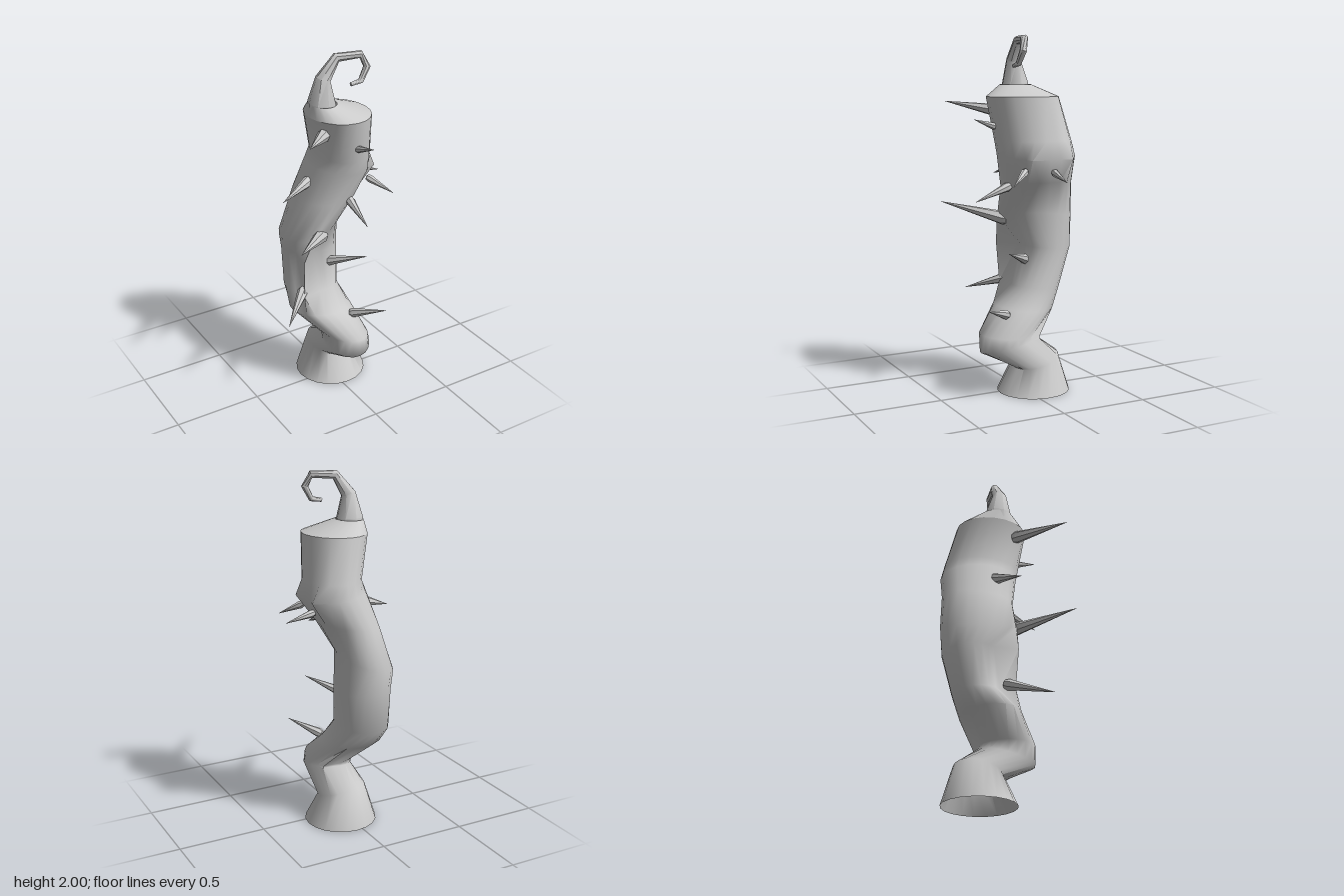
import * as THREE from 'three';
import { toCreasedNormals } from 'three/addons/utils/BufferGeometryUtils.js';

const material = new THREE.MeshStandardMaterial({ color: 0xcccccc, side: THREE.DoubleSide });
const V = (x, y, z) => new THREE.Vector3(x, y, z);

// Skin a list of rings (ordered bottom to top, each a loop of Vector3)
function loft(name, rings, crease, capEnd = false) {
  const n = rings[0].length, pos = [], idx = [];
  for (const ring of rings) for (const p of ring) pos.push(p.x, p.y, p.z);
  for (let r = 0; r < rings.length - 1; r++) {
    for (let i = 0; i < n; i++) {
      const a = r * n + i, b = r * n + (i + 1) % n;
      idx.push(a, a + n, b, b, a + n, b + n);
    }
  }
  if (capEnd) {
    const o = (rings.length - 1) * n;
    for (let i = 1; i < n - 1; i++) idx.push(o, o + i + 1, o + i);
  }
  const g = new THREE.BufferGeometry();
  g.setAttribute('position', new THREE.Float32BufferAttribute(pos, 3));
  g.setIndex(idx);
  const mesh = new THREE.Mesh(toCreasedNormals(g, crease), material);
  mesh.name = name;
  return mesh;
}

// Tilted oval ring from its extents. Skew slides its front sideways and its
// back the other way; each ridge [x, z] pulls the nearest point out to a fold
function oval([y, xL, xR, zB, zF, tiltZ = 0, tiltX = 0, skew = 0, ...ridges], n = 20) {
  const rx = Math.sqrt(((xR - xL) / 2) ** 2 - skew ** 2);
  const ring = Array.from({ length: n }, (_, i) => {
    const a = i / n * Math.PI * 2, c = Math.cos(a), s = Math.sin(a);
    return V((xL + xR) / 2 + rx * c + skew * s,
      y + tiltZ * s + tiltX * c,
      (zB + zF) / 2 + (zF - zB) / 2 * s);
  });
  for (const [x, z] of ridges) {
    const gap = p => Math.hypot(p.x - x, p.z - z);
    const near = ring.reduce((best, p) => gap(p) < gap(best) ? p : best);
    near.x = x;
    near.z = z;
  }
  return ring;
}

// Rings set square to a path of [x, y, z, radius]
function pathRings(path, n) {
  const pts = path.map(p => V(p[0], p[1], p[2]));
  let side = V(1, 0, 0);
  return path.map((p, i) => {
    const t = pts[Math.min(i + 1, pts.length - 1)].clone().sub(pts[Math.max(i - 1, 0)]).normalize();
    side = side.clone().addScaledVector(t, -side.dot(t)).normalize();
    const other = side.clone().cross(t);
    return Array.from({ length: n }, (_, k) => {
      const a = k / n * Math.PI * 2;
      return pts[i].clone().addScaledVector(side, Math.cos(a) * p[3]).addScaledVector(other, Math.sin(a) * p[3]);
    });
  });
}

// Cone from base to tip, with a rounded root
function thorn(base, tip, radius) {
  const from = V(...base), dir = V(...tip).sub(from), len = dir.length();
  const profile = [[0.001, -radius * 0.6], [radius * 0.75, -radius * 0.4], [radius, 0.01], [0.001, len]]
    .map(p => new THREE.Vector2(...p));
  const g = toCreasedNormals(new THREE.LatheGeometry(profile, 7), 0.6);
  const mesh = new THREE.Mesh(g, material);
  mesh.position.copy(from);
  mesh.quaternion.setFromUnitVectors(V(0, 1, 0), dir.normalize());
  mesh.name = 'thorn';
  return mesh;
}

export function createModel() {
  const model = new THREE.Group();
  model.name = 'thornyStalk';

  // Crooked trunk, open at the foot: y, xL, xR, zBack, zFront, tiltZ, tiltX, skew, ridges
  const top = [1.67, -0.138, 0.213, -0.195, 0.22];
  const trunk = [
    [0, -0.17, 0.24, -0.265, 0.15],
    [0.185, -0.10, 0.17, -0.20, 0.07, -0.035, -0.02],
    [0.285, -0.09, 0.17, -0.06, 0.27, -0.035, 0.01, 0, [0.14, -0.045]],
    [0.345, -0.10, 0.16, -0.06, 0.27, 0.01, -0.01, 0, [0.135, -0.045]],
    [0.48, -0.23, 0.13, -0.20, 0.13, 0.01, -0.01],
    [0.585, -0.205, 0.08, -0.27, 0.03, 0.015, 0, 0.025, [-0.195, 0.045]],
    [0.82, -0.21, 0.12, -0.31, -0.02, 0.01, 0, 0, [-0.205, 0.06]],
    [0.97, -0.245, 0.09, -0.33, 0.09, 0.02, 0.05, -0.025],
    [1.18, -0.16, 0.18, -0.295, 0.12, 0, 0.02],
    [1.35, -0.10, 0.25, -0.27, 0.165, 0, -0.02, -0.02, [0.268, -0.18], [0.25, 0.06]],
    [1.43, -0.08, 0.235, -0.25, 0.185, 0, 0, -0.015],
    top,
  ];
  model.add(loft('trunk', trunk.map(r => oval(r)), 1.3));

  // Sloping shoulder between the trunk rim and the stem
  model.add(loft('shoulder', [oval(top), oval([1.735, -0.13, 0.02, -0.08, 0.1])], 0.5));

  // Tapering stem that curls over into a hook
  const stem = [
    [-0.058, 1.69, 0.01, 0.078], [-0.058, 1.74, 0.01, 0.077], [-0.055, 1.87, 0.02, 0.042],
    [0.02, 1.975, 0.03, 0.026], [0.15, 1.98, 0.06, 0.021], [0.178, 1.915, 0.08, 0.02],
    [0.135, 1.845, 0.088, 0.016], [0.075, 1.835, 0.085, 0.011],
  ];
  model.add(loft('curledStem', pathRings(stem, 8), 0.8, true));

  // Thorns: base, tip, radius
  const thorns = [
    [[-0.10, 1.59, 0.10], [-0.315, 1.64, 0.325], 0.036],
    [[0.055, 1.51, 0.19], [0.07, 1.55, 0.32], 0.02],
    [[-0.11, 1.28, -0.04], [-0.31, 1.22, 0.025], 0.032],
    [[0.22, 1.26, -0.09], [0.375, 1.22, -0.08], 0.022],
    [[0.20, 1.27, 0.08], [0.29, 1.20, 0.195], 0.022],
    [[0.06, 1.18, 0.11], [0.05, 1.10, 0.305], 0.026],
    [[-0.09, 0.98, 0.06], [-0.375, 1.06, 0.33], 0.04],
    [[0.00, 0.75, -0.03], [0.15, 0.82, 0.155], 0.03],
    [[-0.18, 0.62, 0.00], [-0.375, 0.54, 0.18], 0.032],
    [[0.07, 0.46, 0.13], [0.195, 0.52, 0.295], 0.028],
  ];
  const thornGroup = new THREE.Group();
  thornGroup.name = 'thorns';
  for (const t of thorns) thornGroup.add(thorn(...t));
  model.add(thornGroup);
  return model;
}
